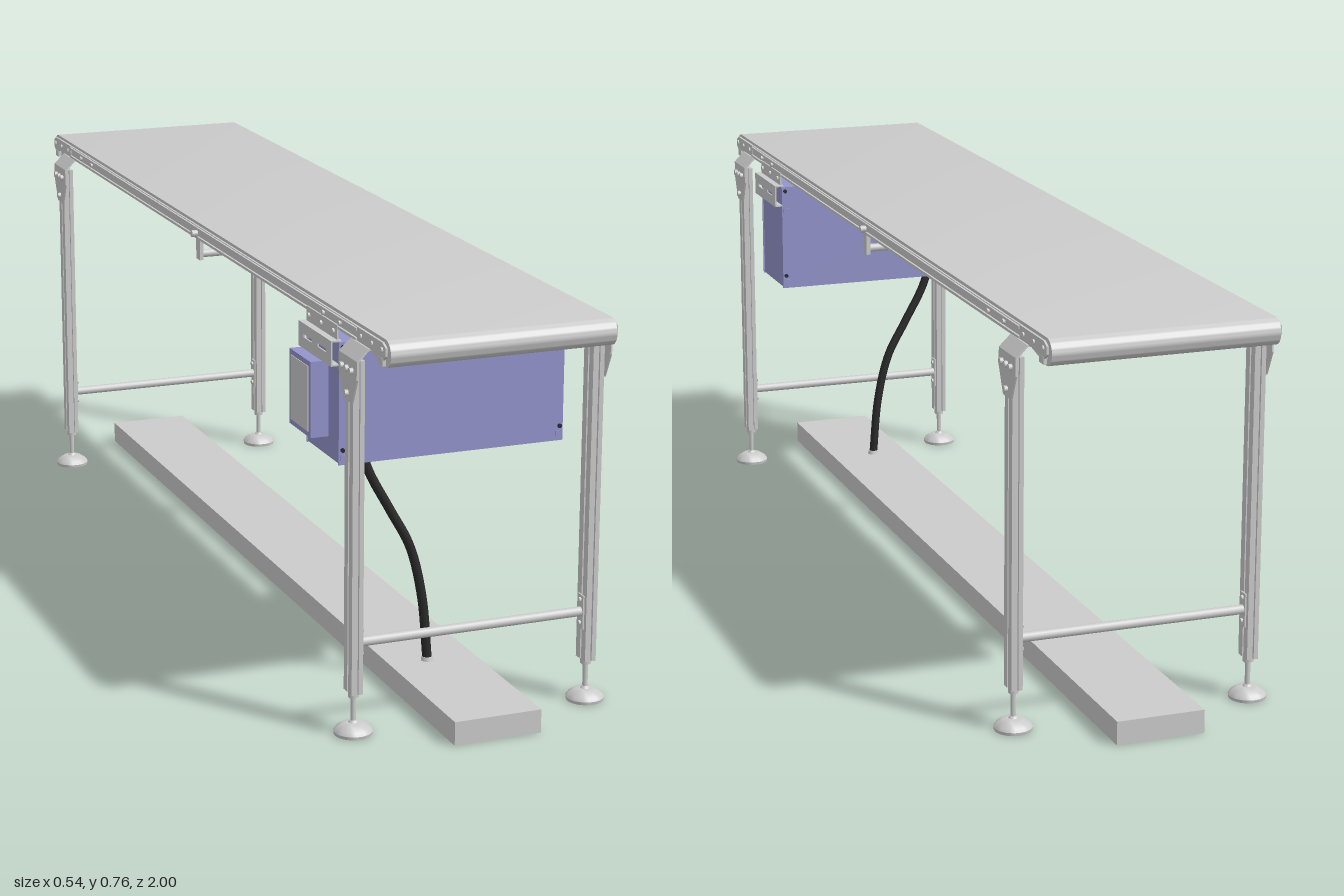
import * as THREE from 'three';
import { toCreasedNormals } from 'three/addons/utils/BufferGeometryUtils.js';

const grey = new THREE.MeshStandardMaterial({ color: 0xcccccc });
const blue = new THREE.MeshStandardMaterial({ color: 0x9494cc });
const black = new THREE.MeshStandardMaterial({ color: 0x2a2a2a });

function add(parent, name, geometry, x = 0, y = 0, z = 0, material = grey) {
  const mesh = new THREE.Mesh(geometry, material);
  mesh.name = name;
  mesh.position.set(x, y, z);
  parent.add(mesh);
  return mesh;
}
const box = (w, h, d) => new THREE.BoxGeometry(w, h, d);
const rodX = (r, length, sides = 16) => new THREE.CylinderGeometry(r, r, length, sides).rotateZ(Math.PI / 2);
const rodZ = (r, length, sides = 12) => new THREE.CylinderGeometry(r, r, length, sides).rotateX(Math.PI / 2);
const shapeOf = (points) => new THREE.Shape(points.map(([a, b]) => new THREE.Vector2(a, b)));

// Extrudes a (z, y) outline along x, centred on x = 0
function sideExtrude(shape, width) {
  return new THREE.ExtrudeGeometry(shape, { depth: width, bevelEnabled: false, curveSegments: 10 })
    .rotateY(-Math.PI / 2).translate(width / 2, 0, 0);
}
function rectHole(x, y, w, h) {
  return new THREE.Path([[-1, -1], [-1, 1], [1, 1], [1, -1]]
    .map(([a, b]) => new THREE.Vector2(x + a * w / 2, y + b * h / 2)));
}

// Slotted profile used for the leg posts
function postGeometry(w, d, height) {
  const a = w / 2, b = d / 2, s = 0.0025, g = 0.005;
  const corner = [[s, -b], [a, -b], [a, -s], [a - g, -s], [a - g, s], [a, s], [a, b], [s, b], [s, b - g]];
  const pts = [...corner, ...corner.map(([x, z]) => [-x, -z])];
  pts.push([-s, -b + g], [s, -b + g]);
  // second half starts at the far slot, so the outline stays one closed loop
  const loop = [...corner, [-s, b - g], [-s, b], [-a, b], [-a, s], [-a + g, s], [-a + g, -s], [-a, -s],
    [-a, -b], [-s, -b], [-s, -b + g], [s, -b + g]];
  return new THREE.ExtrudeGeometry(shapeOf(loop), { depth: height, bevelEnabled: false }).rotateX(-Math.PI / 2);
}

// One leg, built for the +x side
function makeLeg(name) {
  const leg = new THREE.Group();
  leg.name = name;
  add(leg, 'post', postGeometry(0.022, 0.038, 0.62), 0.232, 0.08, 0);
  const foot = [[0, 0], [0.035, 0], [0.036, 0.006], [0.032, 0.012], [0.02, 0.02], [0.009, 0.022], [0.006, 0.026], [0, 0.026]];
  add(leg, 'foot', toCreasedNormals(new THREE.LatheGeometry(foot.map(([r, y]) => new THREE.Vector2(r, y)), 24), 0.6), 0.232, 0, 0);
  add(leg, 'footStem', new THREE.CylinderGeometry(0.005, 0.005, 0.06, 12), 0.232, 0.05, 0);
  add(leg, 'footNut', new THREE.CylinderGeometry(0.01, 0.01, 0.01, 6), 0.232, 0.075, 0);

  // Bracket plate with its bent upper flange
  const plate = shapeOf([[-0.042, 0.705], [-0.042, 0.672], [-0.02, 0.625], [0.02, 0.625], [0.042, 0.672], [0.042, 0.705]]);
  add(leg, 'bracketPlate', sideExtrude(plate, 0.003), 0.2445, 0, 0);
  const bend = shapeOf([[0.246, 0.703], [0.246, 0.706], [0.224, 0.727], [0.216, 0.727], [0.216, 0.724], [0.223, 0.724], [0.243, 0.703]]);
  add(leg, 'bracketFlange', new THREE.ExtrudeGeometry(bend, { depth: 0.084, bevelEnabled: false }), 0, 0, -0.042);
  for (const [y, z] of [[0.685, -0.022], [0.685, 0.022], [0.685, 0], [0.64, 0]])
    add(leg, 'bracketBolt', rodX(0.006, 0.007, 12), 0.249, y, z);
  for (const y of [0.197, 0.152])
    add(leg, 'postBolt', rodX(0.005, 0.008, 8), 0.218, y, 0);
  return leg;
}

export function createModel() {
  const model = new THREE.Group();
  model.name = 'conveyor';

  // Belt loop: rounded noses, underside rising to the flat return run
  const belt = new THREE.Shape();
  belt.moveTo(-0.975, 0.757);
  belt.absarc(-0.975, 0.732, 0.025, Math.PI / 2, Math.PI * 1.5, false);
  belt.lineTo(-0.9, 0.722);
  belt.lineTo(0.9, 0.722);
  belt.lineTo(0.975, 0.707);
  belt.absarc(0.975, 0.732, 0.025, -Math.PI / 2, Math.PI / 2, false);
  add(model, 'belt', toCreasedNormals(sideExtrude(belt, 0.43), 0.5));

  for (const s of [-1, 1]) {
    // Side rail with a raised lip and a lower lip
    add(model, 'sideRail', box(0.005, 0.026, 1.9), s * 0.2165, 0.738, 0);
    add(model, 'railLip', box(0.005, 0.005, 1.72), s * 0.2205, 0.747, 0);
    add(model, 'railLip', box(0.005, 0.005, 1.72), s * 0.2205, 0.729, 0);

    // Tapered end plates, tension blocks and bolts
    for (const e of [-1, 1]) {
      const end = shapeOf([[0.86, 0.726], [0.95, 0.726], [0.972, 0.716], [0.99, 0.73], [0.99, 0.745], [0.975, 0.752], [0.86, 0.752]]
        .map(([z, y]) => [z * e, y]));
      add(model, 'endPlate', sideExtrude(end, 0.004), s * 0.219, 0, 0);
      add(model, 'tensionBlock', box(0.008, 0.014, 0.022), s * 0.2175, 0.717, e * 0.967);
      for (const z of [0.7, 0.78, 0.88, 0.93, 0.975])
        add(model, 'railBolt', rodX(0.005, 0.006, 8), s * 0.221, 0.739, e * z);
    }

    // Hanger holding the control cabinet, with slotted plate
    const plate = shapeOf([[0.62, 0.66], [0.78, 0.66], [0.78, 0.706], [0.62, 0.706]]);
    for (const z of [0.665, 0.735]) plate.holes.push(rectHole(z, 0.684, 0.04, 0.006));
    add(model, 'hangerPlate', sideExtrude(plate, 0.003), s * 0.236, 0, 0);
    add(model, 'hangerShelf', box(0.02, 0.003, 0.16), s * 0.2275, 0.7055, 0.7);
    add(model, 'hangerUpright', box(0.003, 0.028, 0.15), s * 0.2225, 0.72, 0.7);
    add(model, 'hangerFoot', box(0.016, 0.003, 0.16), s * 0.2295, 0.6615, 0.7);
    for (const z of [0.64, 0.7, 0.76])
      add(model, 'hangerBolt', rodX(0.005, 0.006, 8), s * 0.225, 0.72, z);

    // Return roller hanger
    add(model, 'rollerHanger', box(0.008, 0.045, 0.022), s * 0.218, 0.708, 0.02);
    add(model, 'rollerBolt', rodX(0.007, 0.012, 12), s * 0.228, 0.738, 0.015);
  }
  add(model, 'returnRoller', rodX(0.008, 0.44), 0, 0.697, 0.02);

  // Legs and lower cross tubes
  for (const [end, z] of [['front', 0.88], ['rear', -0.865]]) {
    for (const s of [1, -1]) {
      const leg = makeLeg(end + (s > 0 ? 'LeftLeg' : 'RightLeg'));
      leg.position.z = z;
      leg.rotation.y = s > 0 ? 0 : Math.PI;
      model.add(leg);
    }
    add(model, end + 'CrossTube', rodX(0.009, 0.444), 0, 0.174, z);
    for (const s of [-1, 1]) add(model, 'crossTubePlate', box(0.003, 0.065, 0.022), s * 0.2195, 0.174, z);
  }

  // Control cabinet
  const cabinet = new THREE.Group();
  cabinet.name = 'controlCabinet';
  model.add(cabinet);
  add(cabinet, 'cabinetBody', box(0.44, 0.226, 0.152), 0, 0.59, 0.7, blue);
  for (const z of [0.622, 0.778])
    add(cabinet, 'cabinetFace', box(0.444, 0.228, 0.004), 0, 0.589, z, blue);
  for (const s of [-1, 1]) {
    for (const f of [-1, 1]) {
      for (const y of [0.694, 0.503])
        add(cabinet, 'cabinetScrew', rodZ(0.004, 0.004), s * 0.215, y, 0.7 + f * 0.082, black);
      for (const y of [0.65, 0.489])
        add(cabinet, 'cabinetTab', box(0.011, 0.009, 0.002), s * 0.213, y, 0.7 + f * 0.081, blue);
    }
  }
  add(cabinet, 'sidePanel', box(0.035, 0.142, 0.105), -0.2385, 0.586, 0.675, blue);
  add(cabinet, 'panelFace', box(0.002, 0.122, 0.085), -0.2565, 0.586, 0.675);

  // Cable from the cabinet to the floor duct
  const path = new THREE.CatmullRomCurve3([[-0.147, 0.475], [-0.128, 0.425], [-0.087, 0.35], [-0.047, 0.275], [-0.022, 0.175], [-0.009, 0.045]]
    .map(([x, y]) => new THREE.Vector3(x, y, 0.7)));
  add(model, 'cable', new THREE.TubeGeometry(path, 40, 0.009, 12), 0, 0, 0, black);
  add(model, 'cableCollar', new THREE.CylinderGeometry(0.012, 0.01, 0.008, 12), -0.145, 0.471, 0.7);
  add(model, 'cableCollar', new THREE.CylinderGeometry(0.01, 0.012, 0.008, 12), -0.009, 0.049, 0.7);

  // Floor duct
  add(model, 'floorDuct', box(0.17, 0.045, 2), 0, 0.0225, 0);
  return model;
}
